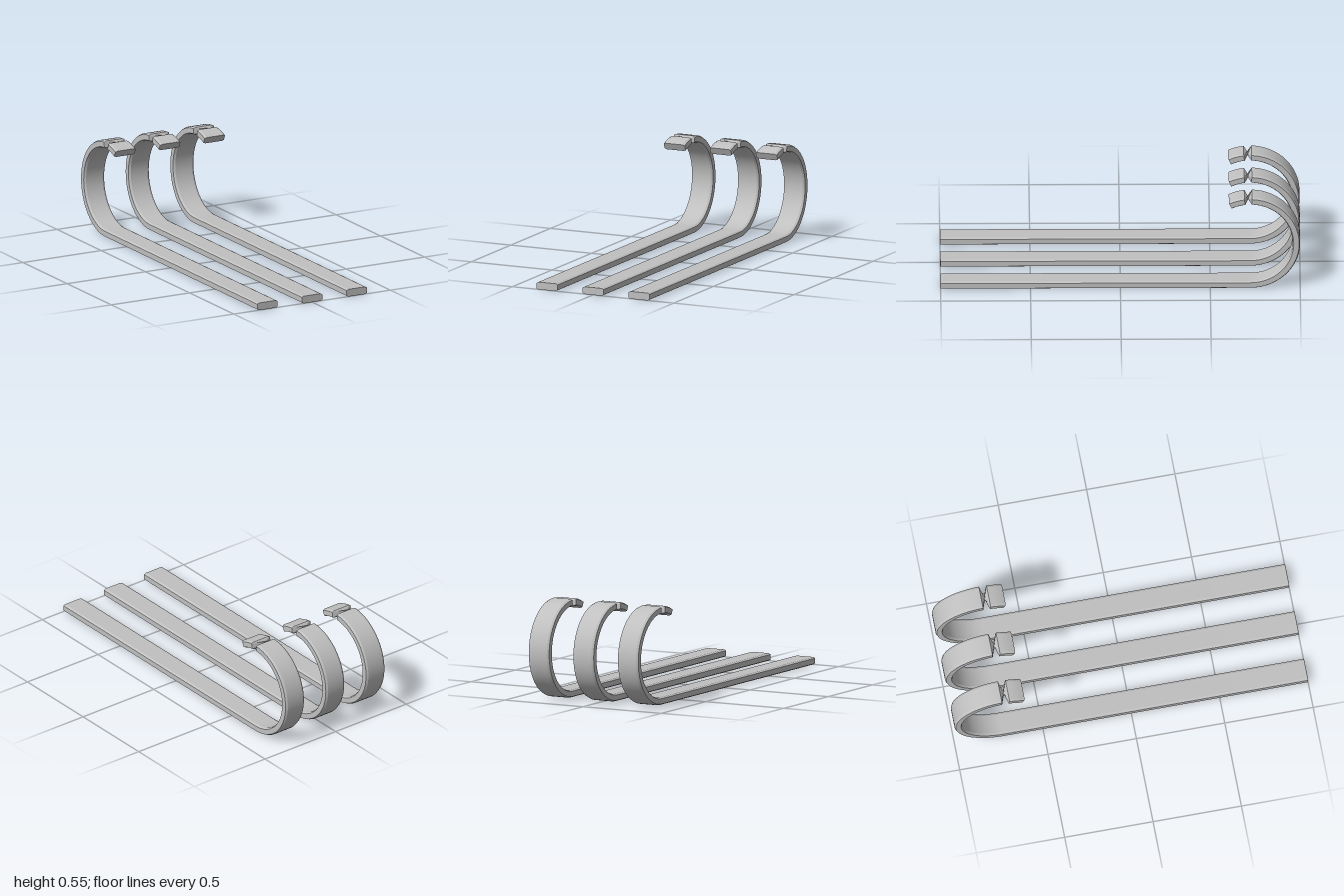
import * as THREE from 'three';
import { toCreasedNormals } from 'three/addons/utils/BufferGeometryUtils.js';

const WIDTH = 0.13, THICK = 0.042, SPACING = 0.285;
const RADIUS = 0.256, ARC_Z = -0.723, ARC_Y = 0.277;

// Chamfered flat-bar section, counter-clockwise, as [across, outward]
function barSection() {
  const w = WIDTH / 2, t = THICK / 2, cx = 0.012, cy = 0.006, n = 4;
  const points = [];
  for (const s of [1, -1]) {
    points.push([s * w, -s * (t - cy)], [s * w, s * (t - cy)]);
    for (let i = 0; i <= n; i++) points.push([s * (w - cx) * (1 - 2 * i / n), s * t]);
  }
  return points;
}

// Stations along the bar: straight shank, curl, then the tip turned half over
function barStations() {
  const stations = [{ angle: 0, run: 1 - ARC_Z, flip: 1 }];
  const curlSteps = 32, tipSteps = 4;
  for (let i = 0; i <= curlSteps; i++) stations.push({ angle: 178 * i / curlSteps, run: 0, flip: 1 });
  for (let i = 0; i <= tipSteps; i++) stations.push({ angle: 187 + 18.7 * i / tipSteps, run: 0, flip: -1 });
  return stations;
}

function hookGeometry() {
  const section = barSection(), stations = barStations();
  const n = section.length, positions = [], index = [];
  for (const { angle, run, flip } of stations) {
    const a = THREE.MathUtils.degToRad(angle);
    for (const [across, out] of section) {
      const r = RADIUS + out * flip;
      positions.push(across * flip, ARC_Y - r * Math.cos(a), ARC_Z + run - r * Math.sin(a));
    }
  }
  // Walls between neighbouring stations
  for (let k = 0; k < stations.length - 1; k++) {
    for (let i = 0; i < n; i++) {
      const a = k * n + i, b = k * n + (i + 1) % n;
      index.push(a, b, b + n, a, b + n, a + n);
    }
  }
  // End caps
  const last = (stations.length - 1) * n;
  for (let i = 1; i < n - 1; i++) {
    index.push(0, i + 1, i);
    index.push(last, last + i, last + i + 1);
  }
  const geometry = new THREE.BufferGeometry();
  geometry.setAttribute('position', new THREE.Float32BufferAttribute(positions, 3));
  geometry.setIndex(index);
  return toCreasedNormals(geometry, 0.35);
}

export function createModel() {
  const group = new THREE.Group();
  group.name = 'hookSet';
  const steel = new THREE.MeshStandardMaterial({ color: 0xc0c0c0, side: THREE.DoubleSide });
  steel.name = 'grey steel';
  const geometry = hookGeometry();
  ['rightHook', 'middleHook', 'leftHook'].forEach((name, i) => {
    const hook = new THREE.Mesh(geometry, steel);
    hook.name = name;
    hook.position.x = (i - 1) * SPACING;
    group.add(hook);
  });
  return group;
}
